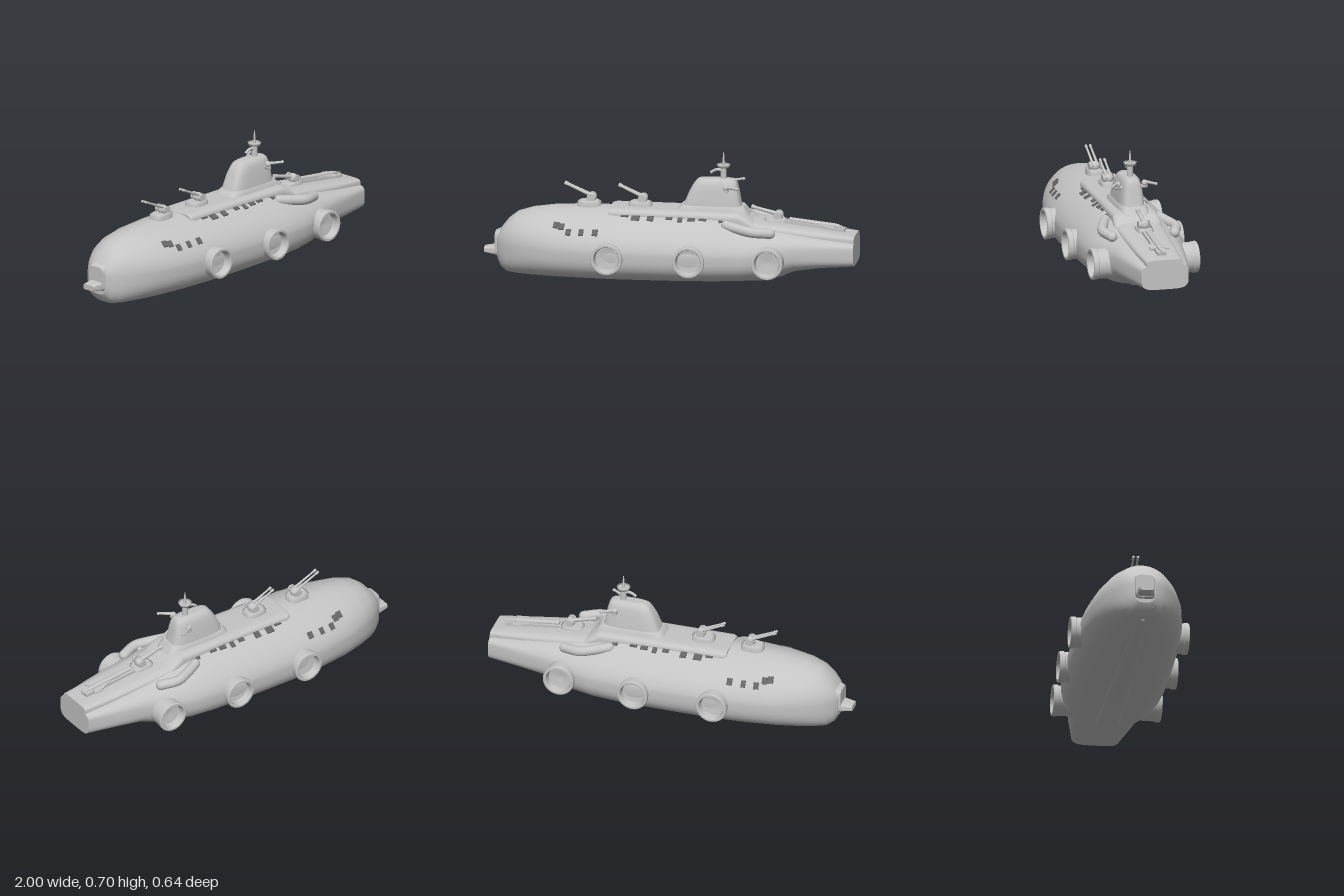
import * as THREE from 'three';

const V = (x, y, z) => new THREE.Vector3(x, y, z);
const N = 48;
const pw = (v, n) => Math.sign(v) * Math.pow(Math.abs(v), 2 / n);

// Skin a list of equal rings, with flat caps at both ends
function loft(rings) {
  const pos = [], idx = [];
  rings.forEach(r => r.forEach(p => pos.push(p.x, p.y, p.z)));
  for (let i = 0; i < rings.length - 1; i++) {
    for (let j = 0; j < N; j++) {
      const k = (j + 1) % N, a = i * N + j, b = i * N + k;
      idx.push(a, a + N, b, b, a + N, b + N);
    }
  }
  [rings[0], rings[rings.length - 1]].forEach((r, end) => {
    const base = pos.length / 3;
    const c = r.reduce((s, p) => s.add(p), V(0, 0, 0)).divideScalar(N);
    [...r, c].forEach(p => pos.push(p.x, p.y, p.z));
    for (let j = 0; j < N; j++) {
      const k = (j + 1) % N;
      idx.push(base + N, base + (end ? k : j), base + (end ? j : k));
    }
  });
  const g = new THREE.BufferGeometry();
  g.setAttribute('position', new THREE.Float32BufferAttribute(pos, 3));
  g.setIndex(idx);
  g.computeVertexNormals();
  return g;
}

// Sections along x: [x, half width, bottom, widest height, top, upper and lower roundness]
const alongX = rows => loft(rows.map(([x, w, y0, ym, y1, nt, nb]) =>
  Array.from({ length: N }, (_, j) => {
    const a = j / N * Math.PI * 2, c = Math.cos(a), s = Math.sin(a), n = s > 0 ? nt : nb;
    return V(x, ym + (s > 0 ? y1 - ym : ym - y0) * pw(s, n), w * pw(c, n));
  })));

// Sections up y: [y, x start, x end, half width, roundness]
const alongY = rows => loft(rows.map(([y, x0, x1, w, n]) =>
  Array.from({ length: N }, (_, j) => {
    const a = j / N * Math.PI * 2;
    return V((x0 + x1) / 2 + (x1 - x0) / 2 * pw(Math.cos(a), n), y, w * pw(Math.sin(a), n));
  })));

const HULL = [
  [-0.925, 0.06, 0.07, 0.15, 0.22, 3, 3],
  [-0.905, 0.095, 0.035, 0.16, 0.25, 2.5, 3],
  [-0.87, 0.125, 0.012, 0.17, 0.295, 2.2, 3],
  [-0.82, 0.16, 0.008, 0.175, 0.335, 2.0, 2.9],
  [-0.74, 0.2, 0.006, 0.18, 0.36, 1.9, 2.8],
  [-0.62, 0.238, 0.006, 0.18, 0.377, 1.8, 2.8],
  [-0.45, 0.265, 0.006, 0.18, 0.386, 1.75, 2.8],
  [-0.25, 0.278, 0.006, 0.18, 0.386, 1.75, 2.8],
  [0.0, 0.28, 0.009, 0.18, 0.386, 1.75, 2.8],
  [0.25, 0.278, 0.015, 0.18, 0.384, 1.75, 2.8],
  [0.4, 0.268, 0.021, 0.18, 0.365, 1.8, 2.7],
  [0.52, 0.242, 0.028, 0.185, 0.335, 2, 2.6],
  [0.6, 0.214, 0.045, 0.19, 0.318, 2.3, 2.6],
  [0.68, 0.196, 0.08, 0.195, 0.3, 2.8, 2.8],
  [0.82, 0.17, 0.105, 0.195, 0.275, 3.5, 3.5],
  [1.0, 0.13, 0.118, 0.195, 0.25, 5, 4.5],
];

// Half width of the hull at a given station and height (upper half)
function hullZ(x, y) {
  let i = 0;
  while (i < HULL.length - 2 && HULL[i + 1][0] < x) i++;
  const t = (x - HULL[i][0]) / (HULL[i + 1][0] - HULL[i][0]);
  const r = HULL[i].map((v, k) => v + (HULL[i + 1][k] - v) * t);
  return r[1] * Math.pow(Math.max(0, 1 - Math.pow((y - r[3]) / (r[4] - r[3]), r[5])), 1 / r[5]);
}

export function createModel() {
  const root = new THREE.Group();
  const grey = new THREE.MeshStandardMaterial({ color: 0xc4c4c4 });
  grey.name = 'hullGrey';
  const dark = new THREE.MeshStandardMaterial({ color: 0x646464 });
  dark.name = 'windowGrey';

  const add = (name, geo, x = 0, y = 0, z = 0, parent = root, mat = grey) => {
    const m = new THREE.Mesh(geo, mat);
    m.name = name;
    m.position.set(x, y, z);
    parent.add(m);
    return m;
  };
  const rod = (name, a, b, r0, r1, parent = root) => {
    const m = add(name, new THREE.CylinderGeometry(r1, r0, a.distanceTo(b), 14), 0, 0, 0, parent);
    m.position.copy(a).add(b).multiplyScalar(0.5);
    m.quaternion.setFromUnitVectors(V(0, 1, 0), b.clone().sub(a).normalize());
    return m;
  };

  // Hull, keel and bow snout
  add('hull', alongX(HULL));
  add('keel', alongX([
    [-0.84, 0.012, 0.004, 0.03, 0.05, 4, 4], [-0.5, 0.05, 0, 0.03, 0.05, 4, 4],
    [0.1, 0.062, 0, 0.03, 0.06, 4, 4], [0.5, 0.062, 0.012, 0.04, 0.075, 4, 4],
    [0.62, 0.05, 0.045, 0.07, 0.09, 4, 4]]));
  add('bowFrame', alongX([
    [-0.94, 0.05, 0.095, 0.16, 0.225, 5, 5], [-0.88, 0.07, 0.08, 0.16, 0.25, 5, 5]]));
  add('bowSnout', alongX([
    [-1.0, 0.036, 0.108, 0.122, 0.137, 5, 5], [-0.95, 0.044, 0.1, 0.122, 0.145, 5, 5],
    [-0.9, 0.05, 0.095, 0.122, 0.15, 5, 5]]));

  // Raised deck amidships and sloping deck aft
  add('midDeck', alongX([
    [-0.32, 0.108, 0.3, 0.335, 0.387, 5, 5], [-0.3, 0.118, 0.3, 0.335, 0.392, 5, 5],
    [0.1, 0.12, 0.3, 0.335, 0.392, 5, 5], [0.38, 0.125, 0.28, 0.33, 0.392, 5, 5],
    [0.42, 0.13, 0.27, 0.32, 0.375, 4, 5], [0.47, 0.13, 0.26, 0.3, 0.338, 4, 5]]));
  add('aftDeck', alongX([
    [0.4, 0.13, 0.25, 0.3, 0.352, 4, 5], [0.6, 0.125, 0.24, 0.28, 0.331, 4, 5],
    [0.8, 0.115, 0.23, 0.26, 0.307, 4, 5], [1.0, 0.1, 0.22, 0.25, 0.28, 5, 5]]));

  // Conning tower with mast
  add('towerBase', alongY([
    [0.37, 0.03, 0.43, 0.085, 5], [0.4, 0.05, 0.41, 0.078, 5], [0.415, 0.065, 0.4, 0.07, 4]]));
  add('tower', alongY([
    [0.4, 0.07, 0.39, 0.069, 4], [0.43, 0.08, 0.38, 0.067, 4], [0.49, 0.105, 0.37, 0.059, 4],
    [0.525, 0.125, 0.362, 0.053, 3.5], [0.545, 0.14, 0.355, 0.045, 3.5],
    [0.555, 0.155, 0.345, 0.034, 3], [0.558, 0.18, 0.32, 0.02, 3]]));
  add('mast', new THREE.CylinderGeometry(0.015, 0.017, 0.07, 18), 0.285, 0.588, 0);
  add('mastDish', new THREE.LatheGeometry([[0, 0], [0.03, 0], [0.037, 0.016], [0.03, 0.01], [0, 0.012]]
    .map(p => new THREE.Vector2(...p)), 24), 0.285, 0.617, 0);
  add('mastSpike', new THREE.CylinderGeometry(0.003, 0.008, 0.07, 12), 0.285, 0.661, 0);
  add('periscope', new THREE.TubeGeometry(new THREE.CatmullRomCurve3(
    [V(0.285, 0.6, 0), V(0.245, 0.602, 0), V(0.215, 0.585, 0)]), 12, 0.008, 10));

  // Deck guns: plate, mount, wheels and one or two barrels
  function gun(x, y, reach, rise, offsets, r) {
    const g = new THREE.Group();
    g.name = 'deckGun';
    g.position.set(x, y, 0);
    root.add(g);
    add('gunPlate', alongY([[-0.03, -0.065, 0.06, 0.046, 3], [0.012, -0.065, 0.06, 0.046, 3],
      [0.02, -0.05, 0.045, 0.036, 3]]), 0, 0, 0, g);
    add('gunMount', new THREE.SphereGeometry(0.026, 16, 10), 0.01, 0.034, 0, g);
    for (const s of [-1, 1]) {
      add('gunWheel', new THREE.CylinderGeometry(0.023, 0.023, 0.01, 16), 0.01, 0.035, s * 0.03, g)
        .rotation.x = Math.PI / 2;
    }
    for (const z of offsets) {
      const a = V(0.03, 0.036, z), b = V(-reach, rise, z);
      rod('gunBarrel', a, b, r, r * 0.6, g);
      rod('gunMuzzle', b.clone().lerp(a, 0.12), b, r * 0.9, r * 0.9, g);
    }
  }
  gun(-0.435, 0.392, 0.135, 0.11, [-0.012, 0.012], 0.008);
  gun(-0.16, 0.396, 0.12, 0.105, [-0.012, 0.012], 0.008);
  gun(0.57, 0.33, 0.135, 0.078, [0], 0.013);

  // Launch rail and dart on the aft deck
  const rail = add('launchRail', new THREE.BoxGeometry(0.36, 0.022, 0.05), 0.76, 0.316, 0);
  rail.rotation.z = -0.11;
  rod('dartBody', V(0.64, 0.345, 0), V(0.88, 0.318, 0), 0.012, 0.014);
  rod('dartNose', V(0.88, 0.318, 0), V(0.95, 0.308, 0), 0.014, 0.002);
  const wing = new THREE.Shape([[-0.1, 0], [0.02, 0.05], [0.06, 0.05], [0.03, 0], [0.06, -0.05], [0.02, -0.05]]
    .map(p => new THREE.Vector2(...p)));
  add('dartWings', new THREE.ExtrudeGeometry(wing, { depth: 0.008, bevelEnabled: false }), 0.84, 0.314, 0)
    .rotation.set(-Math.PI / 2, 0.11, 0);

  // Hollow thruster drum, opening outward along its axis
  const drum = new THREE.LatheGeometry([[0.081, -0.14], [0.081, -0.03], [0.085, -0.026], [0.085, -0.004],
    [0.081, 0], [0.07, 0], [0.067, -0.006], [0.062, -0.04], [0, -0.048]]
    .map(p => new THREE.Vector2(...p)).flatMap((p, i, all) => i && i < all.length - 1 ? [p, p.clone()] : [p]), 40);

  // Windows: [x, y, width]
  const WINDOWS = [[-0.59, 0.308, 0.03], [-0.56, 0.303, 0.03], [-0.52, 0.28, 0.028], [-0.45, 0.283, 0.025],
    [-0.375, 0.285, 0.03], [-0.23, 0.362, 0.04], [-0.17, 0.352, 0.045], [-0.09, 0.352, 0.035],
    [0.01, 0.358, 0.035], [0.07, 0.352, 0.025], [0.13, 0.356, 0.04], [0.19, 0.358, 0.04], [0.3, 0.352, 0.05]];

  for (const s of [-1, 1]) {
    // Three thrusters on each side
    for (const [x, z] of [[-0.3, 0.318], [0.14, 0.318], [0.56, 0.292]]) {
      add('thruster', drum, x, 0.163, s * z).rotation.x = s * Math.PI / 2;
    }
    // Bent side pod and its strut
    const pts = [V(0.32, 0.333, s * 0.145), V(0.4, 0.322, s * 0.18), V(0.47, 0.314, s * 0.2), V(0.56, 0.304, s * 0.172)];
    add('sidePod', new THREE.TubeGeometry(new THREE.CatmullRomCurve3(pts), 24, 0.027, 16));
    for (const p of [pts[0], pts[3]]) add('podEnd', new THREE.SphereGeometry(0.027, 16, 12), p.x, p.y, p.z);
    rod('podStrut', V(0.45, 0.27, s * 0.12), V(0.46, 0.31, s * 0.2), 0.02, 0.015);
    // Tower side gun
    rod('towerGunArm', V(0.31, 0.503, s * 0.04), V(0.31, 0.503, s * 0.088), 0.011, 0.011);
    add('towerGunMount', new THREE.SphereGeometry(0.017, 14, 10), 0.31, 0.52, s * 0.074);
    rod('towerGunBarrel', V(0.3, 0.525, s * 0.07), V(0.375, 0.528, s * 0.122), 0.01, 0.006);
    add('towerGunMuzzle', new THREE.SphereGeometry(0.009, 12, 8), 0.375, 0.528, s * 0.119);
    // Windows laid on the hull side
    for (const [x, y, w] of WINDOWS) {
      const z = hullZ(x, y), e = 0.004;
      const n = V(-(hullZ(x + e, y) - hullZ(x - e, y)) / (2 * e), -(hullZ(x, y + e) - hullZ(x, y - e)) / (2 * e), 1);
      n.z *= s;
      const m = add('window', new THREE.BoxGeometry(w, 0.038, 0.009), x, y, s * z, root, dark);
      m.lookAt(m.position.clone().add(n));
    }
  }
  return root;
}
